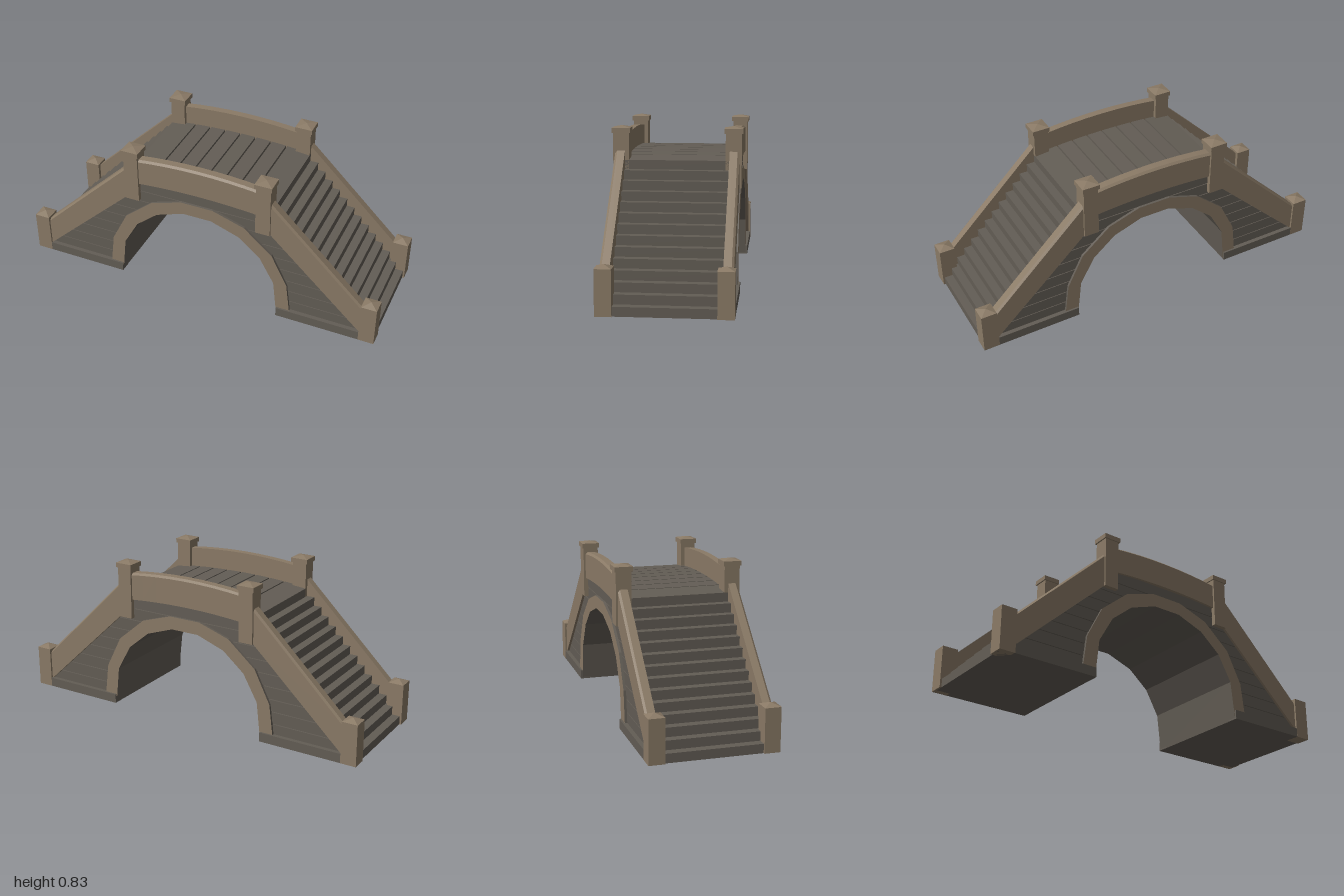
import * as THREE from 'three';

const trim = new THREE.MeshStandardMaterial({ color: 0x8a7a66 });
trim.name = 'tan trim';
const stone = new THREE.MeshStandardMaterial({ color: 0x635d55 });
stone.name = 'grey planks';

// Half of the polygonal arch, from the ground to the crown
const ARCH_IN = [[0.458, 0], [0.435, 0.208], [0.355, 0.35], [0.235, 0.45], [0.08, 0.505]];
const ARCH_OUT = [[0.535, 0], [0.508, 0.213], [0.42, 0.387], [0.265, 0.518], [0.09, 0.575]];
const STEPS = 13, RISE = 0.047, RUN = 0.0446, STAIR_END = 0.99;

const mirrored = (half) => [...half, ...[...half].reverse().map(([x, y]) => [-x, y])];
const shapeOf = (pts) => new THREE.Shape(pts.map(([x, y]) => new THREE.Vector2(x, y)));

function add(parent, name, geometry, material, x = 0, y = 0, z = 0) {
  const mesh = new THREE.Mesh(geometry, material);
  mesh.name = name;
  mesh.position.set(x, y, z);
  parent.add(mesh);
  return mesh;
}

function slab(points, z0, z1) {
  const g = new THREE.ExtrudeGeometry(shapeOf(points), { depth: z1 - z0, bevelEnabled: false });
  return g.translate(0, 0, z0);
}

function pyramid(width, height) {
  const g = new THREE.ConeGeometry(width * Math.SQRT1_2, height, 4, 1).rotateY(Math.PI / 4).toNonIndexed();
  g.computeVertexNormals();
  return g;
}

// Rail with a chamfered outer edge, following bottom and top curves along x
function rail(x0, x1, steps, bottom, top) {
  const section = shapeOf([[-0.265, 0], [-0.315, 0], [-0.315, 0.93], [-0.304, 1], [-0.265, 1]]);
  const g = new THREE.ExtrudeGeometry(section, { depth: x1 - x0, steps, bevelEnabled: false });
  g.rotateY(Math.PI / 2).translate(x0, 0, 0);
  const p = g.attributes.position;
  for (let i = 0; i < p.count; i++) {
    const x = Math.abs(p.getX(i));
    p.setY(i, THREE.MathUtils.lerp(bottom(x), top(x), p.getY(i)));
  }
  g.computeVertexNormals();
  return g;
}

// Where a wall board starts (hidden behind the arch ring) at height y
function archX(y) {
  const mid = ARCH_IN.map(([x, v], i) => [(x + ARCH_OUT[i][0]) / 2, (v + ARCH_OUT[i][1]) / 2]);
  for (let i = 0; i < mid.length - 1; i++) {
    const [xa, ya] = mid[i], [xb, yb] = mid[i + 1];
    if (y <= yb) return xa + (xb - xa) * (y - ya) / (yb - ya);
  }
  return 0;
}

const slope = (x, a, b) => a + (b - a) * (x - 0.41) / 0.505;
const wallX = (y) => (y > 0.52 ? 0.37 : 0.43 + (0.52 - y) * 1.064);
const deckY = (x) => 0.68 - 0.13 * x * x;

// One long side: rails, posts, boards, arch ring and plinths
function createSide() {
  const side = new THREE.Group();
  add(side, 'archRing', slab([...mirrored(ARCH_IN), ...mirrored(ARCH_OUT).reverse()], 0.27, 0.315), [trim, stone]);
  add(side, 'middleRail', rail(-0.35, 0.35, 8, (x) => 0.64 - 0.14 * x * x, (x) => 0.79 - 0.18 * x * x), trim);

  for (const s of [1, -1]) {
    const [x0, x1] = s > 0 ? [0.39, 0.93] : [-0.93, -0.39];
    add(side, 'stairRail', rail(x0, x1, 1, (x) => slope(x, 0.52, 0.045), (x) => slope(x, 0.705, 0.212)), trim);

    add(side, 'endPost', new THREE.BoxGeometry(0.085, 0.225, 0.081), trim, s * 0.9575, 0.1125, 0.285);
    add(side, 'endPostCap', pyramid(0.083, 0.016), trim, s * 0.9575, 0.233, 0.285);
    add(side, 'middlePost', new THREE.BoxGeometry(0.08, 0.275, 0.081), trim, s * 0.37, 0.6575, 0.285);
    add(side, 'middlePostCap', new THREE.BoxGeometry(0.095, 0.025, 0.094), trim, s * 0.37, 0.8075, 0.285);
    add(side, 'middlePostPeak', pyramid(0.094, 0.011), trim, s * 0.37, 0.8255, 0.285);
    add(side, 'plinth', new THREE.BoxGeometry(0.462, 0.05, 0.06), stone, s * 0.688, 0.025, 0.295);

    // Horizontal wall boards with narrow joints
    const rows = 9, h = 0.6 / rows;
    for (let i = 0; i < rows; i++) {
      const a = 0.04 + i * h, b = a + h - 0.004;
      const pts = [[archX(a), a], [wallX(a), a], [wallX(b), b], [archX(b), b]];
      add(side, 'wallBoard', slab(pts.map(([x, y]) => [s * x, y]), 0.28, 0.302), stone);
    }
  }
  return side;
}

export function createModel() {
  const bridge = new THREE.Group();
  bridge.name = 'footbridge';

  // Core with both stairways and the arch opening
  const stairs = [[STAIR_END, 0]];
  for (let i = 0; i < STEPS; i++) {
    const x = STAIR_END - i * RUN;
    stairs.push([x, (i + 1) * RISE], [x - RUN, (i + 1) * RISE]);
  }
  const outline = [...mirrored(stairs), ...mirrored(ARCH_IN).reverse()];
  add(bridge, 'stairsAndCore', slab(outline, -0.292, 0.292), stone);

  // Curved deck of cross planks
  const edges = [-0.41, -0.27, -0.18, -0.09, 0, 0.09, 0.18, 0.27, 0.41];
  for (let i = 0; i < edges.length - 1; i++) {
    const a = edges[i] + (i ? 0.004 : 0), b = edges[i + 1] - (i < 7 ? 0.004 : 0);
    add(bridge, 'deckPlank', slab([[a, 0.6], [b, 0.6], [b, deckY(b)], [a, deckY(a)]], -0.27, 0.27), stone);
  }

  const front = createSide();
  front.name = 'frontSide';
  const back = createSide();
  back.name = 'backSide';
  back.rotation.y = Math.PI;
  bridge.add(front, back);
  return bridge;
}
